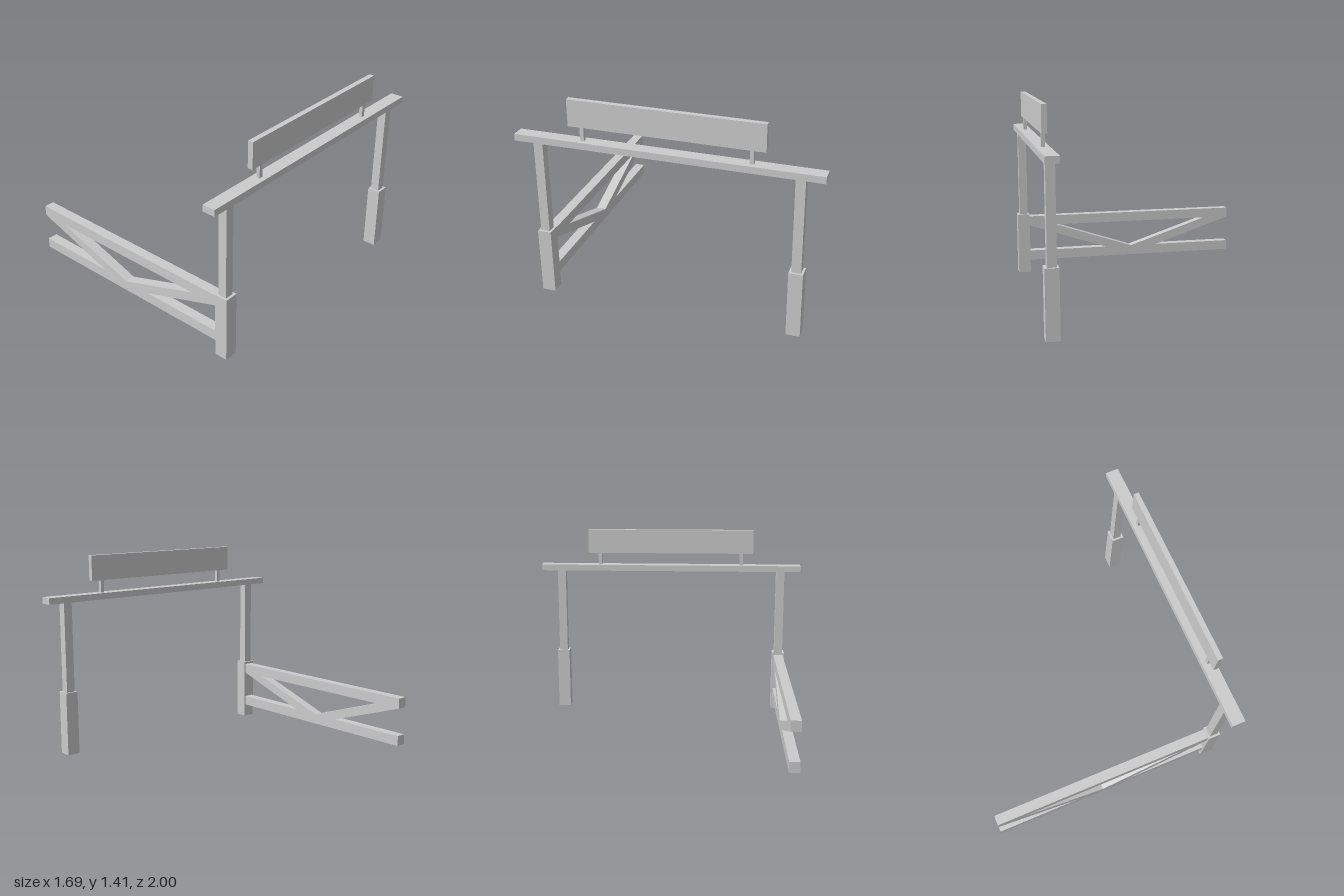
import * as THREE from 'three';

const material = new THREE.MeshStandardMaterial({ color: 0xcccccc, flatShading: true });
const openMaterial = new THREE.MeshStandardMaterial({ color: 0xcccccc, flatShading: true, side: THREE.DoubleSide });

// Box given by its minimum and maximum corners
function box(name, [x0, y0, z0], [x1, y1, z1]) {
  const geometry = new THREE.BoxGeometry(x1 - x0, y1 - y0, z1 - z0);
  geometry.translate((x0 + x1) / 2, (y0 + y1) / 2, (z0 + z1) / 2);
  const mesh = new THREE.Mesh(geometry, material);
  mesh.name = name;
  return mesh;
}

// Removes the underside of a box, leaving a hollow sleeve
function openBottom(mesh) {
  const index = Array.from(mesh.geometry.index.array);
  index.splice(18, 6);
  mesh.geometry.setIndex(index);
  mesh.geometry.clearGroups();
  mesh.material = openMaterial;
  return mesh;
}

export function createModel() {
  const model = new THREE.Group();
  model.name = 'gateway';

  // Posts with thicker sleeves at the foot, and pegs for the sign
  const portal = new THREE.Group();
  portal.name = 'portal';
  for (const side of [1, -1]) {
    const z = 0.847 * side;
    const peg = 0.546 * side;
    portal.add(
      openBottom(box('postSleeve', [0.755, 0, z - 0.046], [0.845, 0.455, z + 0.046])),
      box('post', [0.768, 0.455, z - 0.031], [0.828, 1.095, z + 0.031]),
      box('signPeg', [0.787, 1.14, peg - 0.013], [0.811, 1.23, peg + 0.013])
    );
  }

  // Crossbeam and sign board
  portal.add(
    box('crossbeam', [0.755, 1.095, -1], [0.845, 1.14, 1]),
    box('signBoard', [0.781, 1.23, -0.635], [0.817, 1.41, 0.635])
  );

  // Fence: two rails and a V of slanted braces between them
  const fence = new THREE.Group();
  fence.name = 'fence';
  const zBack = 0.81, zFront = 0.88, middle = -0.046;
  fence.add(
    box('topRail', [-0.845, 0.366, zBack], [0.755, 0.438, zFront]),
    box('bottomRail', [-0.845, 0.095, zBack], [0.755, 0.167, zFront])
  );
  for (const side of [1, -1]) {
    const outline = [[0, 0.167], [0.202, 0.167], [0.8, 0.366], [0.6, 0.366]]
      .map(([x, y]) => new THREE.Vector2(middle + side * x, y));
    const geometry = new THREE.ExtrudeGeometry(new THREE.Shape(outline), { depth: zFront - zBack, bevelEnabled: false });
    geometry.translate(0, 0, zBack);
    const brace = new THREE.Mesh(geometry, material);
    brace.name = side > 0 ? 'leftBrace' : 'rightBrace';
    fence.add(brace);
  }

  model.add(portal, fence);
  return model;
}
